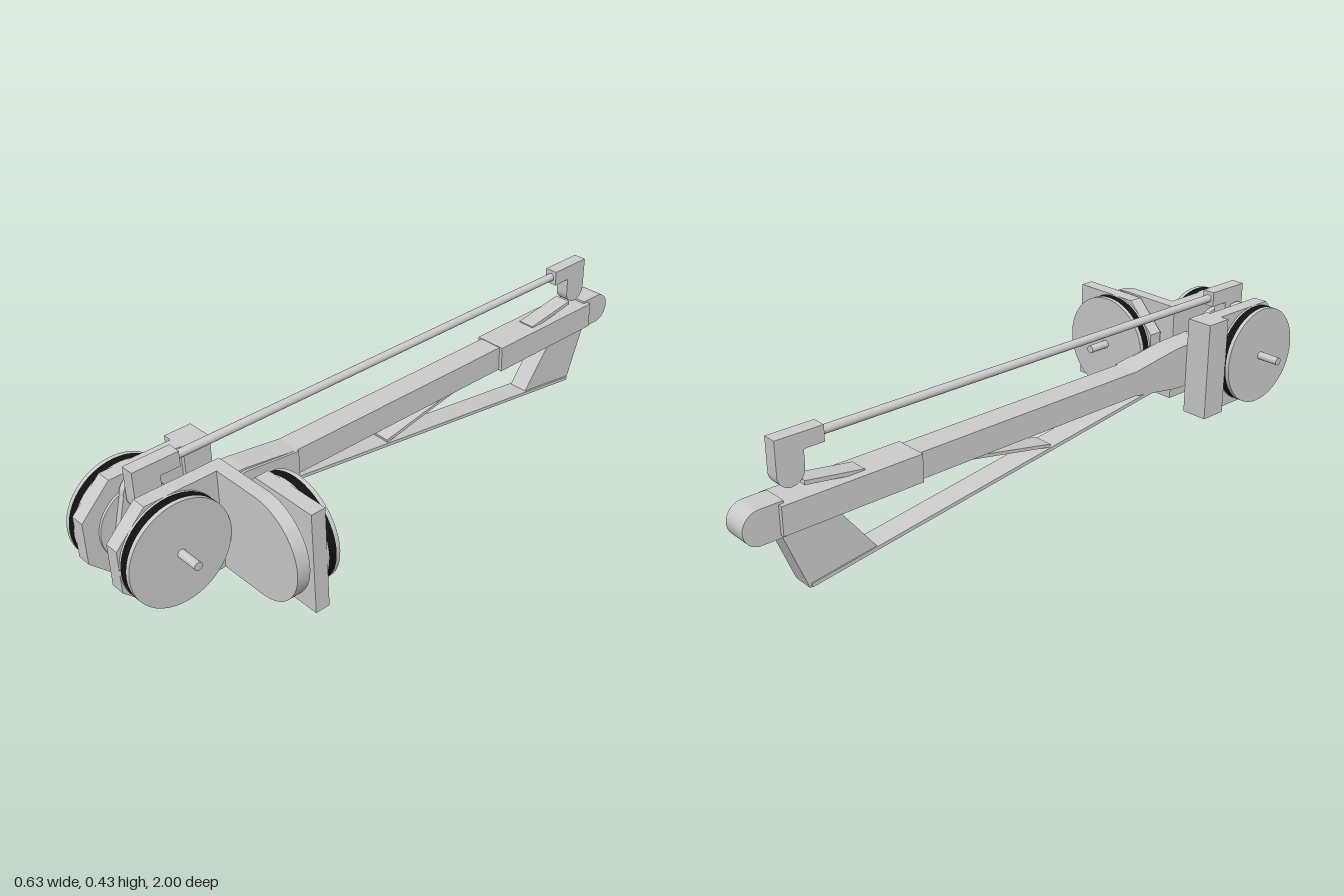
import * as THREE from 'three';

const grey = new THREE.MeshStandardMaterial({ color: 0xcccccc });
const black = new THREE.MeshStandardMaterial({ color: 0x111111 });
const R = 0.157, AXIS_Y = 0.228, HIP_Z = 0.842;

function add(parent, name, geometry, material = grey) {
  const mesh = new THREE.Mesh(geometry, material);
  mesh.name = name;
  parent.add(mesh);
  return mesh;
}

function box(parent, name, [x0, x1], [y0, y1], [z0, z1]) {
  const m = add(parent, name, new THREE.BoxGeometry(x1 - x0, y1 - y0, z1 - z0));
  m.position.set((x0 + x1) / 2, (y0 + y1) / 2, (z0 + z1) / 2);
  return m;
}

// Disc along local z from z0 to z1
function disc(parent, name, r, z0, z1, material) {
  const g = new THREE.CylinderGeometry(r, r, z1 - z0, 48).rotateX(Math.PI / 2);
  return add(parent, name, g.translate(0, 0, (z0 + z1) / 2), material);
}

const polygon = (pts) => new THREE.Shape(pts.map(([a, b]) => new THREE.Vector2(a, b)));

const extrude = (shape, depth) =>
  new THREE.ExtrudeGeometry(shape, { depth, bevelEnabled: false, curveSegments: 24 });

// Side outline in (z, y), extruded across x0..x1
function sidePlate(parent, name, shape, x0, x1) {
  const m = add(parent, name, extrude(shape, x1 - x0));
  m.rotation.y = -Math.PI / 2;
  m.position.x = x1;
  return m;
}

// Flat bar between two (z, y) points
function bar(parent, name, [z0, y0], [z1, y1], t, x0, x1) {
  const d = new THREE.Vector2(z1 - z0, y1 - y0).normalize().multiplyScalar(t / 2);
  const pts = [[z0 - d.y, y0 + d.x], [z1 - d.y, y1 + d.x], [z1 + d.y, y1 - d.x], [z0 + d.y, y0 - d.x]];
  return sidePlate(parent, name, polygon(pts), x0, x1);
}

// Motor pointing along local z: housing square on one side, half octagon on the other
function motor(parent, name, position, turn, flip, rotorDepth) {
  const g = new THREE.Group();
  g.name = name;
  const k = R * Math.tan(Math.PI / 8);
  const pts = [[-R, -R], [k, -R], [R, -k], [R, k], [k, R], [-R, R]];
  add(g, 'motorHousing', extrude(polygon(pts.map(([a, b]) => [a * flip, b])), 0.045));
  disc(g, 'motorRim', R, 0.045, 0.051);
  disc(g, 'motorBand', R, 0.051, 0.076, black);
  disc(g, 'motorLid', R, 0.076, 0.088);
  disc(g, 'motorShaft', 0.0125, 0.088, 0.16);
  disc(g, 'motorRotor', 0.115, -rotorDepth, 0);
  g.position.set(...position);
  g.rotation.y = turn;
  parent.add(g);
}

export function createModel() {
  const model = new THREE.Group();
  model.name = 'robotLeg';

  // Motors
  motor(model, 'kneeMotor', [-0.155, AXIS_Y, HIP_Z], -Math.PI / 2, 1, 0.008);
  motor(model, 'hipMotor', [-0.043, AXIS_Y, HIP_Z], Math.PI / 2, -1, 0.018);
  motor(model, 'sideMotor', [R, AXIS_Y, 0.632], Math.PI, 1, 0.012);

  // Brackets behind the knee motor and in front of the side motor
  box(model, 'kneeMotorBracket', [-0.228, -0.142], [0.071, 0.385], [0.6, 0.686]);
  const u = new THREE.Shape();
  u.moveTo(-0.043, AXIS_Y - R);
  u.lineTo(R, AXIS_Y - R);
  u.absarc(R, AXIS_Y, R, -Math.PI / 2, Math.PI / 2, false);
  u.lineTo(-0.043, AXIS_Y + R);
  add(model, 'sideMotorBracket', extrude(u, 0.041)).position.z = 0.644;

  // Upper beam: flared root, hub, long bar and sleeve
  const root = polygon([[0.37, 0.19], [0.55, 0.162], [0.68, 0.155], [0.68, 0.301], [0.55, 0.296], [0.37, 0.27]]);
  sidePlate(model, 'beamRoot', root, -0.142, -0.063);
  const hub = new THREE.Shape();
  hub.moveTo(0.67, 0.155);
  hub.lineTo(HIP_Z, 0.155);
  hub.absarc(HIP_Z, AXIS_Y, 0.073, -Math.PI / 2, Math.PI / 2, false);
  hub.lineTo(0.67, 0.301);
  sidePlate(model, 'beamHub', hub, -0.128, -0.07);
  const horn = polygon([[0.37, 0.19], [0.55, 0.165], [0.9, 0.18], [0.9, 0.275], [0.55, 0.29], [0.37, 0.27]]);
  sidePlate(model, 'hipHorn', horn, -0.071, -0.055);
  box(model, 'beam', [-0.142, -0.063], [0.19, 0.27], [-0.47, 0.38]);
  box(model, 'beamSleeve', [-0.155, -0.052], [0.188, 0.272], [-0.895, -0.46]);

  // Rounded knee tip
  const tip = new THREE.Shape();
  tip.moveTo(-0.88, 0.279);
  tip.lineTo(-0.95, 0.279);
  tip.absarc(-0.95, 0.229, 0.05, Math.PI / 2, Math.PI * 1.5, false);
  tip.lineTo(-0.88, 0.179);
  sidePlate(model, 'kneeTip', tip, -0.142, -0.066);

  // Foot, underside strap, brace and top lever
  const foot = polygon([[-0.725, 0.195], [-0.605, 0.04], [-0.82, 0.002], [-0.895, 0.195]]);
  sidePlate(model, 'foot', foot, -0.136, -0.072);
  bar(model, 'lowerStrap', [0.46, 0.184], [-0.815, 0.009], 0.011, -0.14, -0.066);
  bar(model, 'strapBrace', [0.02, 0.133], [-0.28, 0.192], 0.01, -0.135, -0.071);
  bar(model, 'kneeLever', [-0.63, 0.27], [-0.81, 0.298], 0.012, -0.13, -0.075);

  // Crank on the knee motor
  const crank = new THREE.Shape();
  crank.absarc(HIP_Z, AXIS_Y, 0.073, Math.PI, Math.PI * 2, false);
  crank.absarc(HIP_Z, 0.335, 0.045, 0, Math.PI, false);
  sidePlate(model, 'crank', crank, -0.148, -0.128);

  // Push rod with a hooked end at each side
  const rod = add(model, 'pushRod', new THREE.CylinderGeometry(0.0125, 0.0125, 1.5, 24).rotateX(Math.PI / 2));
  rod.position.set(-0.101, 0.408, 0);
  for (const s of [1, -1]) {
    const end = new THREE.Shape();
    const c = 0.841 * s, r = 0.041;
    end.moveTo(0.738 * s, 0.432);
    end.lineTo(0.738 * s, 0.385);
    end.lineTo(c - r * s, 0.385);
    end.absarc(c, 0.335, r, s > 0 ? Math.PI : 0, s > 0 ? Math.PI * 2 : -Math.PI, s < 0);
    end.lineTo(c + r * s, 0.432);
    sidePlate(model, s > 0 ? 'frontRodEnd' : 'rearRodEnd', end, -0.122, -0.08);
  }

  // Pin joining crank and rod end
  const pin = add(model, 'crankPin', new THREE.CylinderGeometry(0.012, 0.012, 0.06, 24).rotateZ(Math.PI / 2));
  pin.position.set(-0.115, 0.335, HIP_Z);

  return model;
}
